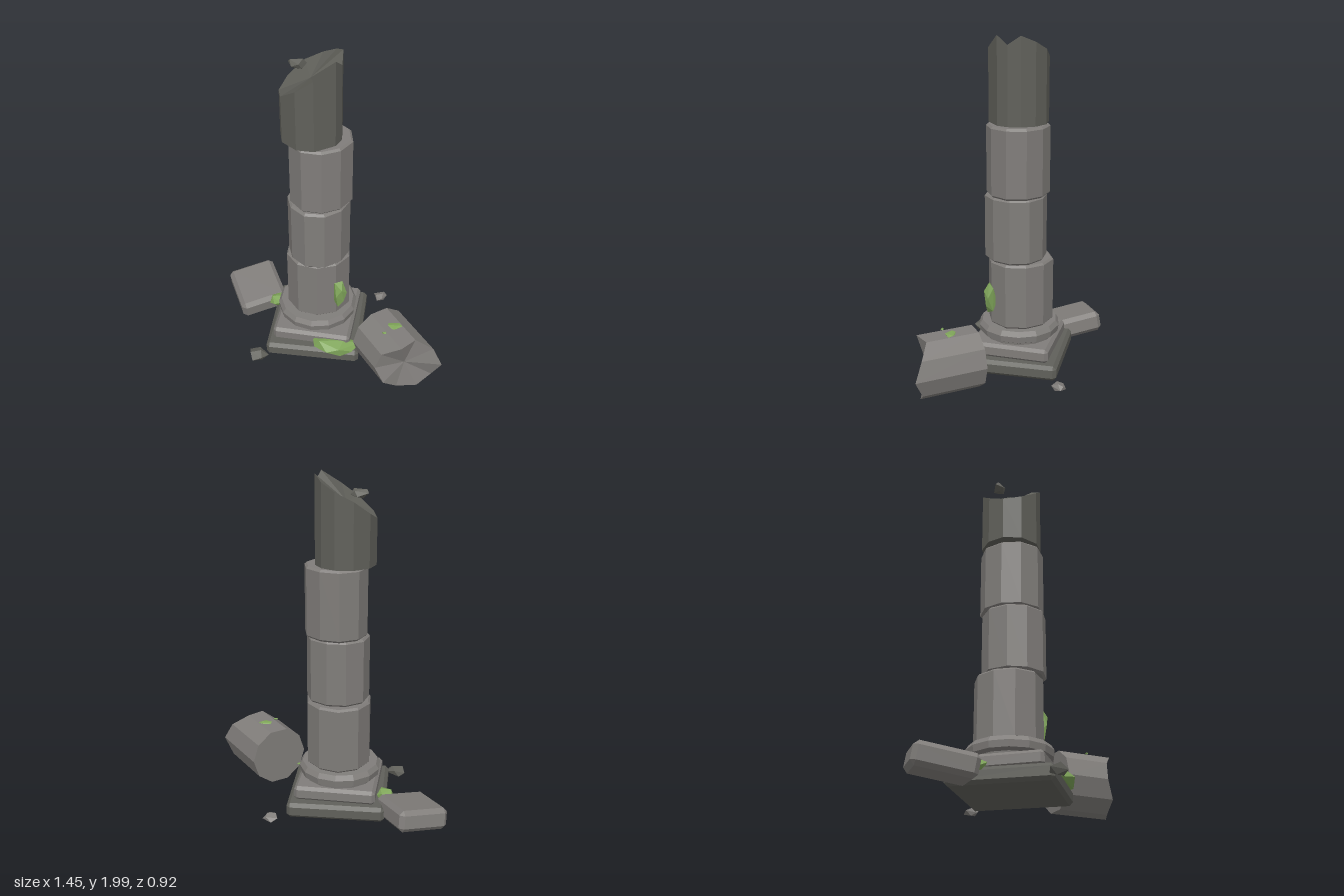
import * as THREE from 'three';
import { ConvexGeometry } from 'three/addons/geometries/ConvexGeometry.js';

const V = (x, y, z) => new THREE.Vector3(x, y, z);

// Box with every edge chamfered by c
function chamferBox(w, h, d, c) {
  const pts = [];
  for (const sx of [-1, 1]) for (const sy of [-1, 1]) for (const sz of [-1, 1]) {
    const x = w / 2, y = h / 2, z = d / 2;
    pts.push(V(sx * x, sy * (y - c), sz * (z - c)));
    pts.push(V(sx * (x - c), sy * y, sz * (z - c)));
    pts.push(V(sx * (x - c), sy * (y - c), sz * z));
  }
  return new ConvexGeometry(pts);
}

// Irregular faceted lump filling the given half sizes
function lump(rx, ry, rz, seed, count = 12) {
  let s = seed;
  const rand = () => (s = (s * 16807) % 2147483647) / 2147483647;
  const pts = [];
  for (let i = 0; i < count; i++) {
    const y = 1 - (2 * (i + 0.5)) / count;
    const a = i * 2.4 + rand() * 0.6, r = Math.sqrt(1 - y * y), k = 0.85 + rand() * 0.3;
    pts.push(V(Math.cos(a) * r * rx * k, y * ry * 1.08, Math.sin(a) * r * rz * k));
  }
  return new ConvexGeometry(pts);
}

// Ten-sided drum with worn edges and slightly uneven sides
function drum(r, h, turn) {
  const b = 0.012;
  const profile = [[0, 0], [r - b, 0], [r, b], [r, h - b], [r - b, h], [0, h]];
  const g = new THREE.LatheGeometry(profile.map(p => new THREE.Vector2(...p)), 10);
  const p = g.attributes.position;
  for (let i = 0; i < p.count; i++) {
    const a = Math.atan2(p.getZ(i), p.getX(i));
    const k = 1 + 0.025 * Math.sin(3 * a + turn * 5);
    p.setX(i, p.getX(i) * k);
    p.setZ(i, p.getZ(i) * k);
  }
  return g.rotateY(turn);
}

// Drum with a flat base and a broken end: rim is [degrees from x towards z, height]
function brokenDrum(r, rim, middle) {
  const pos = [], n = rim.length;
  const at = (i, top) => {
    const [deg, h] = rim[i % n], a = THREE.MathUtils.degToRad(deg);
    return [r * Math.cos(a), top ? h : 0, r * Math.sin(a)];
  };
  for (let i = 0; i < n; i++) {
    const a = at(i), b = at(i + 1), A = at(i, true), B = at(i + 1, true);
    pos.push(...a, ...A, ...B, ...a, ...B, ...b);
    pos.push(...A, 0, middle, 0, ...B);
    pos.push(...a, ...b, 0, 0, 0);
  }
  const g = new THREE.BufferGeometry();
  g.setAttribute('position', new THREE.Float32BufferAttribute(pos, 3));
  g.computeVertexNormals();
  return g;
}

export function createModel() {
  const group = new THREE.Group();
  const mat = (name, color) => {
    const m = new THREE.MeshStandardMaterial({ color, flatShading: true });
    m.name = name;
    return m;
  };
  const stone = mat('stone', 0x807d7a);
  const darkStone = mat('darkStone', 0x60605a);
  const moss = mat('moss', 0x80a65a);

  const add = (name, geo, material, pos, rot = [0, 0, 0]) => {
    const m = new THREE.Mesh(geo, material);
    m.name = name;
    m.position.set(...pos);
    m.rotation.set(...rot, 'YXZ');
    group.add(m);
    return m;
  };

  // Stepped base
  add('lowerPlinth', chamferBox(0.57, 0.09, 0.57, 0.02), darkStone, [-0.073, 0.085, -0.01], [0, 0.02, 0]);
  add('upperPlinth', chamferBox(0.475, 0.085, 0.475, 0.018), stone, [-0.073, 0.17, -0.01], [0, -0.025, 0]);
  const ring = [[0, 0.205], [0.21, 0.205], [0.213, 0.225], [0.238, 0.238], [0.243, 0.275], [0.225, 0.303], [0, 0.306]];
  add('baseRing', new THREE.LatheGeometry(ring.map(p => new THREE.Vector2(...p)), 14), stone, [-0.076, 0, -0.015]);

  // Stacked drums, each a little off centre
  const drums = [
    [0.193, 0.305, 0.7, -0.068, -0.022, 0.1],
    [0.182, 0.7, 1.09, -0.062, 0.002, 0.35],
    [0.183, 1.09, 1.5, -0.052, -0.01, 0.2],
  ];
  drums.forEach(([r, y0, y1, x, z, turn], i) =>
    add('drum' + (i + 1), drum(r, y1 - y0, turn), stone, [x, y0, z]));

  // Broken top drum
  const topRim = [[-17, 0.5], [8, 0.45], [31, 0.5], [75, 0.42], [108, 0.35], [146, 0.28],
    [182, 0.26], [215, 0.3], [250, 0.37], [284, 0.42], [314, 0.465]];
  add('brokenTopDrum', brokenDrum(0.173, topRim, 0.35), darkStone, [-0.1, 1.5, -0.005]);

  // Fallen drum lying on its side
  const fallenRim = [0.42, 0.37, 0.355, 0.3, 0.29, 0.245, 0.26, 0.33, 0.31, 0.37].map((h, i) => [i * 36, h]);
  const fallen = add('fallenDrum', brokenDrum(0.178, fallenRim, 0.29), stone, [0.325, 0.215, 0.145]);
  fallen.quaternion.setFromRotationMatrix(
    new THREE.Matrix4().makeBasis(V(0.78, 0, -0.625), V(0.625, 0, 0.78), V(0, -1, 0)));

  // Fallen block, tilted
  add('fallenBlock', chamferBox(0.3, 0.125, 0.335, 0.025), stone, [-0.518, 0.107, -0.245], [0.15, 0.51, 0.12]);

  // Loose rubble
  add('rubbleBack', lump(0.048, 0.025, 0.045, 11, 10), stone, [0.288, 0.062, -0.335]);
  add('rubbleFront', lump(0.062, 0.034, 0.055, 23, 10), darkStone, [-0.4, 0.072, 0.31]);
  add('rubbleTop', lump(0.055, 0.028, 0.04, 37, 10), darkStone, [-0.175, 1.9, -0.06]);

  // Moss patches
  add('mossColumn', lump(0.045, 0.1, 0.04, 5), moss, [0.08, 0.478, 0.125]);
  add('mossBase', lump(0.15, 0.045, 0.075, 17, 14), moss, [0.07, 0.145, 0.235], [0, 0.15, -0.08]);
  add('mossBlock', lump(0.06, 0.035, 0.06, 29), moss, [-0.355, 0.14, -0.12]);
  add('mossDrum', lump(0.05, 0.008, 0.03, 41, 10), moss, [0.43, 0.385, 0.257]);
  add('mossSpeck', lump(0.016, 0.006, 0.01, 53, 8), moss, [0.378, 0.385, 0.322]);

  return group;
}
